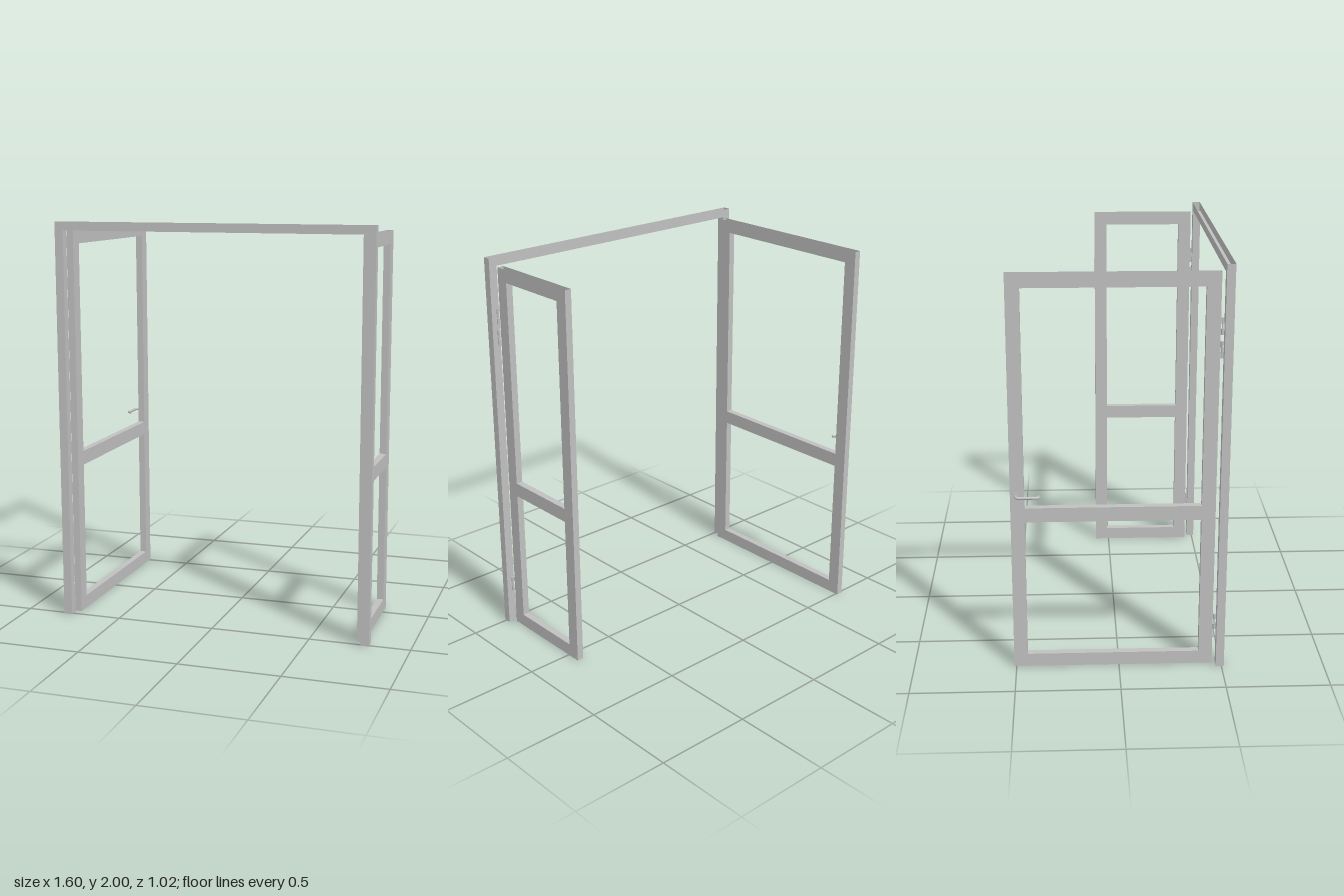
import * as THREE from 'three';

const grey = new THREE.MeshStandardMaterial({ color: 0xc0c0c0, side: THREE.DoubleSide });
grey.name = 'light grey metal';

function mesh(name, geometry) {
  const m = new THREE.Mesh(geometry, grey);
  m.name = name;
  return m;
}

// Trace a closed rectangle on a shape or path
function rect(path, x0, y0, x1, y1) {
  path.moveTo(x0, y0).lineTo(x1, y0).lineTo(x1, y1).lineTo(x0, y1).closePath();
  return path;
}

// Extrude a hollow profile and leave its top and bottom ends open
function openExtrude(shape, depth, top) {
  const src = new THREE.ExtrudeGeometry(shape, { depth, bevelEnabled: false }).toNonIndexed();
  const p = src.getAttribute('position');
  const kept = [];
  for (let i = 0; i < p.count; i += 3) {
    const ys = [p.getY(i), p.getY(i + 1), p.getY(i + 2)];
    const isEnd = [0, top].some((e) => ys.every((y) => Math.abs(y - e) < 1e-5));
    if (isEnd) continue;
    for (let k = i; k < i + 3; k++) kept.push(p.getX(k), p.getY(k), p.getZ(k));
  }
  const g = new THREE.BufferGeometry();
  g.setAttribute('position', new THREE.Float32BufferAttribute(kept, 3));
  g.computeVertexNormals();
  return g;
}

// Portal: two posts and a lintel
function doorFrame() {
  const s = new THREE.Shape();
  s.moveTo(-0.8, 0).lineTo(-0.757, 0).lineTo(-0.757, 1.958).lineTo(0.757, 1.958)
    .lineTo(0.757, 0).lineTo(0.8, 0).lineTo(0.8, 2).lineTo(-0.8, 2).closePath();
  const frame = mesh('doorFrame', openExtrude(s, 0.04, 2));
  frame.position.z = 0.472;
  return frame;
}

// Open leaf with two glazing openings, running back from the hinge edge
function doorLeaf(name, x, width) {
  const height = 1.955, bar = 0.066, thick = 0.035;
  const s = rect(new THREE.Shape(), 0, 0, width, height);
  for (const [y0, y1] of [[0.066, 0.764], [0.835, 1.89]]) {
    s.holes.push(rect(new THREE.Path(), bar, y0, width - bar, y1));
  }
  const leaf = mesh(name, openExtrude(s, thick, height));
  leaf.rotation.y = Math.PI / 2;
  leaf.position.set(x - thick / 2, 0, 0.456);
  return leaf;
}

// Hinge: slim barrel with two thicker knuckles
function hinge(side, y) {
  const g = new THREE.Group();
  g.name = 'hinge';
  g.add(mesh('hingePin', new THREE.CylinderGeometry(0.004, 0.004, 0.08, 10)));
  for (const dy of [-0.026, 0.026]) {
    const knuckle = mesh('hingeKnuckle', new THREE.CylinderGeometry(0.007, 0.007, 0.028, 12));
    knuckle.position.y = dy;
    g.add(knuckle);
  }
  g.position.set(side * 0.77, y, 0.463);
  return g;
}

// Lever handle on the outer face of the wide leaf
function handle() {
  const g = new THREE.Group();
  g.name = 'leverHandle';
  const rose = mesh('handleRose', new THREE.CylinderGeometry(0.018, 0.018, 0.005, 20));
  rose.rotation.z = Math.PI / 2;
  rose.position.set(-0.766, 0.9, -0.483);
  const v = (x, z) => new THREE.Vector3(x, 0.9, z);
  const path = new THREE.CurvePath();
  path.add(new THREE.LineCurve3(v(-0.765, -0.483), v(-0.782, -0.483)));
  path.add(new THREE.QuadraticBezierCurve3(v(-0.782, -0.483), v(-0.796, -0.483), v(-0.796, -0.469)));
  path.add(new THREE.LineCurve3(v(-0.796, -0.469), v(-0.796, -0.386)));
  path.add(new THREE.QuadraticBezierCurve3(v(-0.796, -0.386), v(-0.796, -0.377), v(-0.78, -0.377)));
  g.add(rose, mesh('handleLever', new THREE.TubeGeometry(path, 40, 0.007, 10, false)));
  // Rounded tip closing the lever
  const tip = mesh('handleTip', new THREE.CircleGeometry(0.007, 10));
  tip.rotation.y = Math.PI / 2;
  tip.position.copy(v(-0.78, -0.377));
  g.add(tip);
  return g;
}

export function createModel() {
  const model = new THREE.Group();
  model.name = 'doubleDoor';
  model.add(doorFrame());
  model.add(doorLeaf('wideDoorLeaf', -0.746, 0.967));
  model.add(doorLeaf('narrowDoorLeaf', 0.746, 0.53));
  for (const side of [-1, 1]) {
    for (const y of [0.23, 1.6, 1.71]) model.add(hinge(side, y));
  }
  model.add(handle());
  return model;
}
